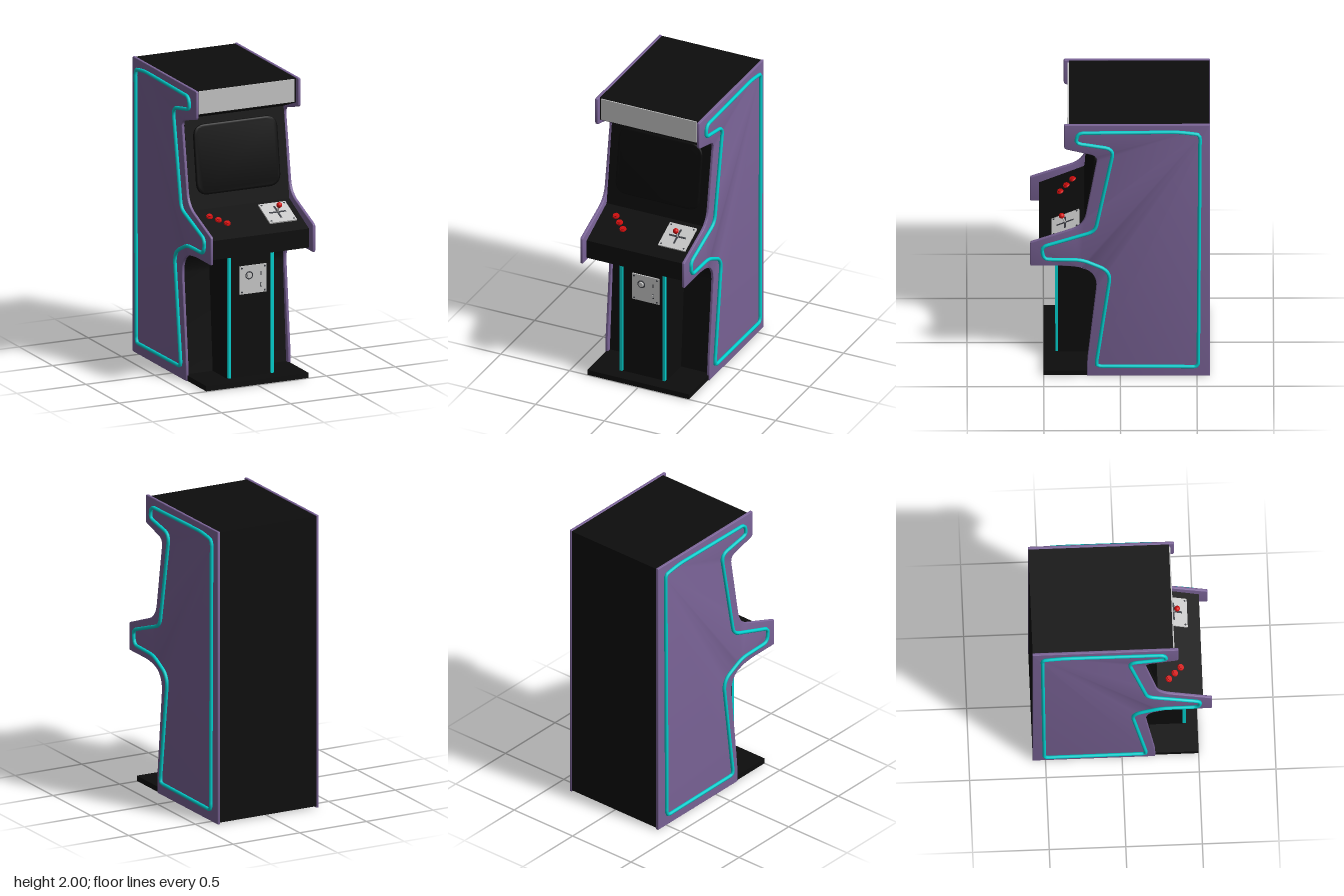
import * as THREE from 'three';
import { toCreasedNormals } from 'three/addons/utils/BufferGeometryUtils.js';

const mat = (name, color) => {
  const m = new THREE.MeshStandardMaterial({ color });
  m.name = name;
  return m;
};

// Closed outline from [a, b, cornerRadius] points
function roundedShape(pts) {
  const s = new THREE.Shape();
  const n = pts.length;
  const v = pts.map((p) => new THREE.Vector2(p[0], p[1]));
  const toward = (a, b, d) => a.clone().add(b.clone().sub(a).setLength(d));
  for (let i = 0; i < n; i++) {
    const r = pts[i][2] || 0;
    const c = v[i], prev = v[(i + n - 1) % n], next = v[(i + 1) % n];
    const p = r ? toward(c, prev, r) : c;
    if (i === 0) s.moveTo(p.x, p.y); else s.lineTo(p.x, p.y);
    if (r) {
      const q = toward(c, next, r);
      s.quadraticCurveTo(c.x, c.y, q.x, q.y);
    }
  }
  s.closePath();
  return s;
}

// Extrude a (z, y) outline across x, centred on x = 0
function extrudeAcross(shape, width, bevel) {
  const g = new THREE.ExtrudeGeometry(shape, {
    depth: width - 2 * bevel, bevelEnabled: bevel > 0, bevelSize: bevel, bevelThickness: bevel,
    bevelOffset: -bevel, bevelSegments: 3, curveSegments: 10,
  });
  g.translate(0, 0, bevel - width / 2);
  g.rotateY(-Math.PI / 2);
  return toCreasedNormals(g, 0.6);
}

export function createModel() {
  const root = new THREE.Group();
  root.name = 'arcadeCabinet';
  const purple = mat('purple side', 0x7b6498);
  const black = mat('black cabinet', 0x0d0d0d);
  const glass = mat('dark screen', 0x090909);
  const teal = mat('teal trim', 0x00d0ce);
  const white = mat('marquee grey', 0xc4c4c4);
  const metal = mat('plate grey', 0xc8c8c8);
  const dark = mat('dark grey', 0x3a3c42);
  const red = mat('red', 0xd20d0d);

  const add = (parent, name, geo, material, x = 0, y = 0, z = 0) => {
    const m = new THREE.Mesh(geo, material);
    m.name = name;
    m.position.set(x, y, z);
    parent.add(m);
    return m;
  };
  const box = (w, h, d) => new THREE.BoxGeometry(w, h, d);
  const cyl = (r, h, n = 24) => new THREE.CylinderGeometry(r, r, h, n);

  // Side panels and their raised trim
  const panelGeo = extrudeAcross(roundedShape([
    [-0.585, 0, 0.005], [0.217, 0, 0.005], [0.217, 0.12, 0.05], [0.145, 0.83, 0.13],
    [0.30, 0.877, 0.1], [0.588, 0.877, 0.01], [0.588, 1.065, 0.01], [0.24, 1.198, 0.09],
    [0.148, 1.75, 0.05], [0.368, 1.808, 0.02], [0.368, 2, 0.01], [-0.585, 2, 0.005],
  ]), 0.02, 0.006);
  const trimPts = roundedShape([
    [-0.508, 0.08, 0.025], [0.16, 0.085, 0.03], [0.062, 0.84, 0.08], [0.25, 0.932, 0.05],
    [0.50, 0.937, 0.035], [0.515, 1.035, 0.035], [0.165, 1.158, 0.05],
    [0.042, 1.815, 0.06], [0.295, 1.862, 0.035], [0.275, 1.943, 0.03],
    [-0.38, 1.95, 0.05], [-0.52, 1.93, 0.025],
  ]).getSpacedPoints(200).slice(0, -1).map((p) => new THREE.Vector3(0, p.y, p.x));
  const trimGeo = new THREE.TubeGeometry(new THREE.CatmullRomCurve3(trimPts, true), 260, 0.012, 10, true);
  for (const [side, s] of [['left', 1], ['right', -1]]) {
    add(root, side + 'SidePanel', panelGeo, purple, s * 0.37);
    add(root, side + 'SideTrim', trimGeo, teal, s * 0.389);
  }

  // Cabinet body between the panels
  add(root, 'cabinetBody', extrudeAcross(roundedShape([
    [-0.583, 0.012], [0.19, 0.012], [0.13, 0.83, 0.12], [0.30, 0.895, 0.08], [0.53, 0.895],
    [0.53, 1.024], [0.235, 1.155], [0.15, 1.76], [0.335, 1.83], [0.335, 1.995], [-0.583, 1.995],
  ]), 0.722, 0), black);
  add(root, 'basePlate', box(0.74, 0.036, 0.33), black, 0, 0.02, 0.335);
  add(root, 'marquee', box(0.694, 0.154, 0.01), white, 0, 1.914, 0.338);

  // Screen, leaning back with the bezel
  const w = 0.3, h = 0.228, r = 0.08;
  const screenGeo = new THREE.ExtrudeGeometry(
    roundedShape([[-w, -h, r], [w, -h, r], [w, h, r], [-w, h, r]]),
    { depth: 0.002, bevelSize: 0.015, bevelThickness: 0.009, bevelOffset: -0.01, bevelSegments: 4, curveSegments: 8 });
  add(root, 'screen', toCreasedNormals(screenGeo, 0.6), glass, 0, 1.48, 0.19).rotation.x = -0.14;

  // Coin pedestal with teal strips
  add(root, 'coinPedestal', box(0.33, 0.87, 0.3), black, -0.007, 0.46, 0.256);
  for (const x of [-0.163, 0.148]) add(root, 'pedestalStrip', box(0.02, 0.85, 0.02), teal, x, 0.47, 0.414);

  // Coin door, facing +z
  const door = new THREE.Group();
  door.name = 'coinDoor';
  door.position.set(0.012, 0.695, 0.406);
  root.add(door);
  add(door, 'doorPlate', box(0.195, 0.19, 0.012), metal, 0, 0, 0.003);
  add(door, 'lockRing', new THREE.TorusGeometry(0.024, 0.004, 8, 24), dark, -0.03, 0.03, 0.011);
  add(door, 'lock', cyl(0.015, 0.016), metal, -0.03, 0.03, 0.014).rotation.x = Math.PI / 2;
  add(door, 'coinSlot', box(0.006, 0.026, 0.004), dark, 0.055, 0.035, 0.01);
  add(door, 'returnSlot', box(0.012, 0.03, 0.004), dark, 0.055, -0.042, 0.01);
  add(door, 'returnFlap', box(0.007, 0.02, 0.012), metal, 0.055, -0.04, 0.012);
  for (const x of [-1, 1]) for (const y of [-1, 1])
    add(door, 'doorScrew', cyl(0.006, 0.006, 12), dark, x * 0.083, y * 0.081, 0.01).rotation.x = Math.PI / 2;

  // Control deck, local y along the sloped surface's normal
  const deck = new THREE.Group();
  deck.name = 'controlDeck';
  deck.position.set(0, 1.095, 0.37);
  deck.rotation.x = Math.atan(0.444);
  root.add(deck);

  const stick = new THREE.Group();
  stick.name = 'joystick';
  stick.position.set(0.216, 0, -0.016);
  deck.add(stick);
  add(stick, 'joystickPlate', box(0.196, 0.012, 0.196), metal, 0, 0.004, 0);
  add(stick, 'crossSlotWide', box(0.12, 0.004, 0.013), dark, 0, 0.0095, 0);
  add(stick, 'crossSlotLong', box(0.013, 0.004, 0.12), dark, 0, 0.0095, 0);
  add(stick, 'joystickStem', cyl(0.006, 0.06, 12), metal, 0, 0.035, 0);
  add(stick, 'joystickBall', new THREE.SphereGeometry(0.019, 24, 16), red, 0, 0.068, 0);
  for (const x of [-1, 1]) for (const z of [-1, 1])
    add(stick, 'plateScrew', cyl(0.006, 0.006, 12), dark, x * 0.082, 0.01, z * 0.082);

  // Three buttons in a diagonal row
  for (let i = 0; i < 3; i++) {
    const button = new THREE.Group();
    button.name = 'button';
    button.position.set(-0.255 + i * 0.045, 0, -0.066 + i * 0.044);
    deck.add(button);
    add(button, 'buttonCollar', new THREE.CylinderGeometry(0.02, 0.024, 0.012, 24), red, 0, 0.004, 0);
    add(button, 'buttonCap', cyl(0.014, 0.02), red, 0, 0.007, 0);
  }
  return root;
}
